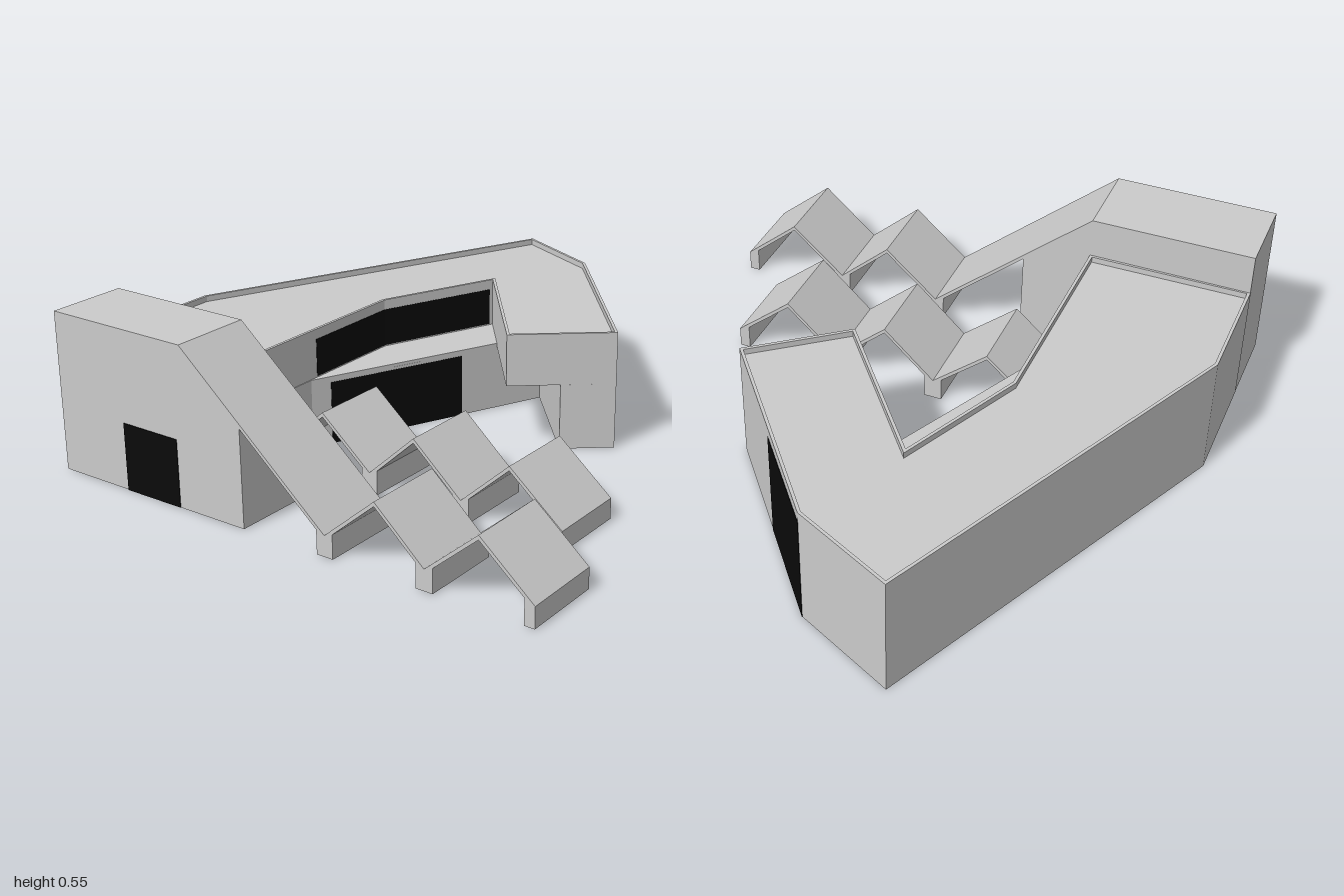
import * as THREE from 'three';

const grey = new THREE.MeshStandardMaterial({ color: 0xcccccc, flatShading: true });
const black = new THREE.MeshStandardMaterial({ color: 0x0a0a0a, flatShading: true });
const WALL = 0.01;

// plan corners as [x, z], clockwise seen from above
const A = [-1, -0.79], T = [-0.73, -0.862], B = [-0.34, -0.965], C = [1, -0.745], D = [0.937, -0.388];
const E = [0.495, 0.229], F = [0.2, 0.012], G = [0.547, -0.458], H = [0.11, -0.525], I = [-0.59, -0.342];
const J = [0.345, 0.119], K = [0.605, -0.263], L = [-0.28, -0.42], M = [0.427, -0.295];
const upperPlan = [T, B, C, D, E, F, G, H, I];
const lowerPlan = [T, B, C, D, E, J, K, L, I];
const floorPlan = [T, B, C, D, E, F, M, L, I];

function add(parent, name, geometry, material = grey) {
  const mesh = new THREE.Mesh(geometry, material);
  mesh.name = name;
  parent.add(mesh);
  return mesh;
}

const inward = (a, b) => {
  const l = Math.hypot(b[0] - a[0], b[1] - a[1]);
  return [-(b[1] - a[1]) / l, (b[0] - a[0]) / l];
};

// mitred inward offset of a closed plan
function inset(pts, d) {
  return pts.map((p, i) => {
    const n = inward(pts.at(i - 1), p), m = inward(p, pts[(i + 1) % pts.length]);
    const k = d / (1 + n[0] * m[0] + n[1] * m[1]);
    return [p[0] + (n[0] + m[0]) * k, p[1] + (n[1] + m[1]) * k];
  });
}

// plan polygon raised from y0 to y1; the hole runs the opposite way round
function plan(pts, y0, y1, hole) {
  const flat = list => list.map(([x, z]) => new THREE.Vector2(x, -z));
  const shape = new THREE.Shape(flat(pts));
  if (hole) shape.holes.push(new THREE.Path(flat(hole).reverse()));
  const g = new THREE.ExtrudeGeometry(shape, { depth: y1 - y0, bevelEnabled: false });
  return g.rotateX(-Math.PI / 2).translate(0, y0, 0);
}

// upright slab along a to b between fractions t0 and t1, from depth d0 to d1 inside the line
function slab(a, b, t0, t1, y0, y1, d0, d1) {
  const dx = b[0] - a[0], dz = b[1] - a[1], n = inward(a, b);
  const t = (t0 + t1) / 2, d = (d0 + d1) / 2;
  const g = new THREE.BoxGeometry(Math.hypot(dx, dz) * (t1 - t0), y1 - y0, d1 - d0);
  g.rotateY(-Math.atan2(dz, dx));
  return g.translate(a[0] + dx * t + n[0] * d, (y0 + y1) / 2, a[1] + dz * t + n[1] * d);
}

// side profile [s, y] extruded across a row
function profile(pts, width) {
  const shape = new THREE.Shape(pts.map(p => new THREE.Vector2(...p)));
  return new THREE.ExtrudeGeometry(shape, { depth: width, bevelEnabled: false });
}

// folded roof sheet with constant vertical thickness
const sheet = (pts, width, t = 0.015) =>
  profile([...pts, ...pts.map(([s, y]) => [s, y - t]).reverse()], width);

export function createModel() {
  const model = new THREE.Group();
  model.name = 'angularBuilding';

  // main building
  add(model, 'lowerWalls', plan(lowerPlan, 0, 0.23, inset(lowerPlan, WALL)));
  add(model, 'upperWalls', plan(upperPlan, 0.23, 0.41, inset(upperPlan, WALL)));
  add(model, 'flatRoof', plan(inset(upperPlan, WALL), 0.375, 0.39));
  add(model, 'upperFloor', plan(floorPlan, 0.23, 0.241));

  // partitions standing inside the rear wall
  for (let i = 0; i < 6; i++) {
    const t = 0.08 + i * 0.165;
    add(model, 'partition', slab(B, C, t, t + 0.012, 0, 0.23, WALL, 0.13));
  }

  // dark openings
  const opening = (name, a, b, t0, t1, y0, y1) =>
    add(model, name, slab(a, b, t0, t1, y0, y1, -0.0015, WALL + 0.0015), black);
  opening('sideGate', D, E, 0, 0.49, 0, 0.375);
  opening('upperWindow', H, I, 0, 0.51, 0.245, 0.375);
  opening('upperWindow', G, H, 0.03, 1, 0.245, 0.375);
  opening('lowerGlazing', K, L, 0.36, 0.92, 0, 0.22);
  opening('towerDoor', [-0.86, -0.27], A, 0.06, 0.48, 0, 0.23);

  // two parallel rows, each measured forward from its right rear corner
  const width = 0.28, low = 0.07, peak = 0.23;
  function row(name, x, z) {
    const group = new THREE.Group();
    group.name = name;
    group.position.set(x, 0, z);
    group.rotation.y = -THREE.MathUtils.degToRad(75.2);
    model.add(group);
    return group;
  }
  function legs(group, valleys, end) {
    for (const s of valleys) {
      add(group, 'valleyLeg', profile([[s - 0.03, 0], [s + 0.03, 0], [s + 0.03, 0.085], [s, low - 0.002], [s - 0.03, 0.085]], width));
    }
    add(group, 'endLeg', profile([[end - 0.035, 0], [end, 0], [end, low], [end - 0.035, 0.09]], width));
  }

  // tower whose roof slides down into the long row
  const long = row('towerRow', -0.589, -0.342);
  add(long, 'foldedRoof', sheet([[-0.538, 0.545], [0, 0.545], [0.546, low],
    [0.732, peak], [0.907, low], [1.092, peak], [1.278, low]], width));
  legs(long, [0.546, 0.907], 1.278);
  const side = [[-0.538, 0], [0.23, 0], [0.23, 0.335], [0, 0.535], [-0.538, 0.535]];
  add(long, 'towerRightWall', profile(side, WALL));
  add(long, 'towerLeftWall', profile(side, WALL)).position.z = width - WALL;
  const across = (s, h) => profile([[s, 0], [s + WALL, 0], [s + WALL, h], [s, h]], width);
  add(long, 'towerRearWall', across(-0.538, 0.54));
  add(long, 'towerFrontWall', across(0.23 - WALL, 0.335));

  // short row of gables leaving the terrace block
  const short = row('gableRow', -0.177, -0.442);
  add(short, 'foldedRoof', sheet([[0, low], [0.186, peak], [0.372, low], [0.546, peak],
    [0.724, low], [0.9, peak], [1.089, low]], width));
  legs(short, [0.372, 0.724], 1.089);

  return model;
}
